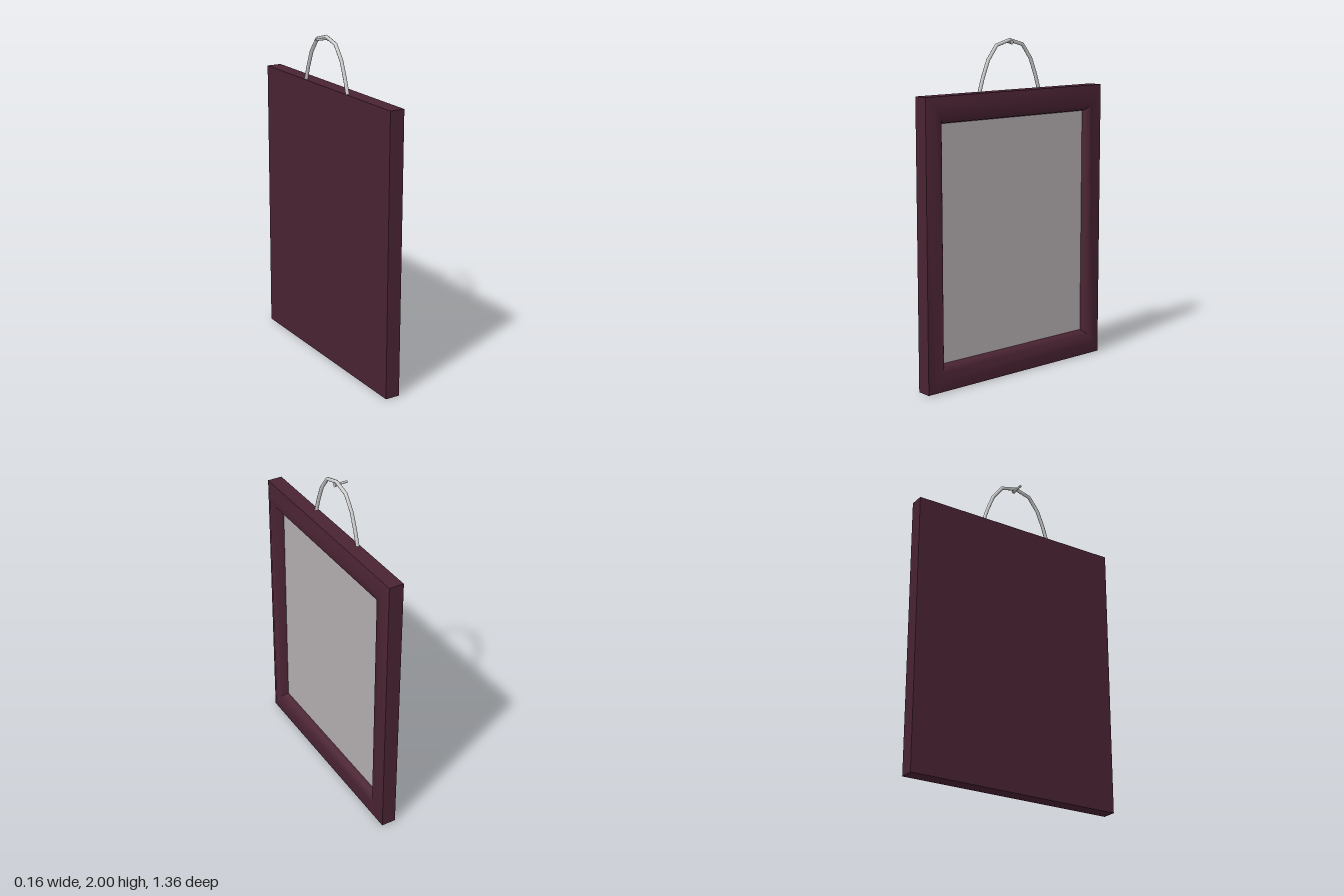
import * as THREE from 'three';
import { toCreasedNormals } from 'three/addons/utils/BufferGeometryUtils.js';

const W = 0.68, H = 1.7; // half width along z, height

// Four corners of a rectangle at depth x, inset from the outer edge
function ring(x, inset) {
  const z = W - inset, lo = inset * 1.25, hi = H - inset * 1.25;
  return [[x, lo, z], [x, lo, -z], [x, hi, -z], [x, hi, z]];
}

// Moulding: rectangular cross-sections joined from back to inner lip
function frameGeometry() {
  const profile = [[-0.03, 0], [0.02, 0], [0.06, 0], [0.08, 0.055], [0.073, 0.1], [0.05, 0.119], [0.02, 0.126]];
  const rings = profile.map(([x, inset]) => ring(x, inset));
  const pos = [];
  const quad = (a, b, c, d) => pos.push(...a, ...b, ...c, ...a, ...c, ...d);
  for (let i = 0; i < rings.length - 1; i++) {
    for (let k = 0; k < 4; k++) {
      const n = (k + 1) % 4;
      quad(rings[i][k], rings[i][n], rings[i + 1][n], rings[i + 1][k]);
    }
  }
  quad(...[...rings[0]].reverse()); // solid back
  const geo = new THREE.BufferGeometry();
  geo.setAttribute('position', new THREE.Float32BufferAttribute(pos, 3));
  return toCreasedNormals(geo, 0.9);
}

export function createModel() {
  const group = new THREE.Group();
  const wood = new THREE.MeshStandardMaterial({ color: 0x4a2333 });
  const canvas = new THREE.MeshStandardMaterial({ color: 0xb3adae });
  const metal = new THREE.MeshStandardMaterial({ color: 0xcccccc });
  const add = (name, geo, mat, x = 0, y = 0, z = 0) => {
    const mesh = new THREE.Mesh(geo, mat);
    mesh.name = name;
    mesh.position.set(x, y, z);
    group.add(mesh);
    return mesh;
  };

  add('frame', frameGeometry(), wood);

  // Blank panel set into the frame
  const panel = new THREE.PlaneGeometry(1.11, 1.39);
  panel.rotateY(Math.PI / 2);
  add('panel', panel, canvas, 0.025, H / 2, 0);

  // Hanging wire, bent in short straight pieces
  const half = [[0.235, 1.68], [0.2, 1.79], [0.152, 1.9], [0.095, 1.965]];
  const path = [...half, [0, 1.989], ...half.map(([z, y]) => [-z, y]).reverse()];
  const curve = new THREE.CatmullRomCurve3(path.map(([z, y]) => new THREE.Vector3(-0.017, y, z)));
  add('hangingWire', new THREE.TubeGeometry(curve, 8, 0.011, 8), metal);

  // Nail carrying the wire, with its head towards the viewer
  const shaft = new THREE.CylinderGeometry(0.007, 0.007, 0.08, 8);
  shaft.rotateZ(Math.PI / 2);
  add('nailShaft', shaft, metal, -0.042, 1.976, -0.005);
  const head = new THREE.CylinderGeometry(0.013, 0.013, 0.006, 10);
  head.rotateZ(Math.PI / 2);
  add('nailHead', head, metal, -0.003, 1.976, -0.005);

  return group;
}
